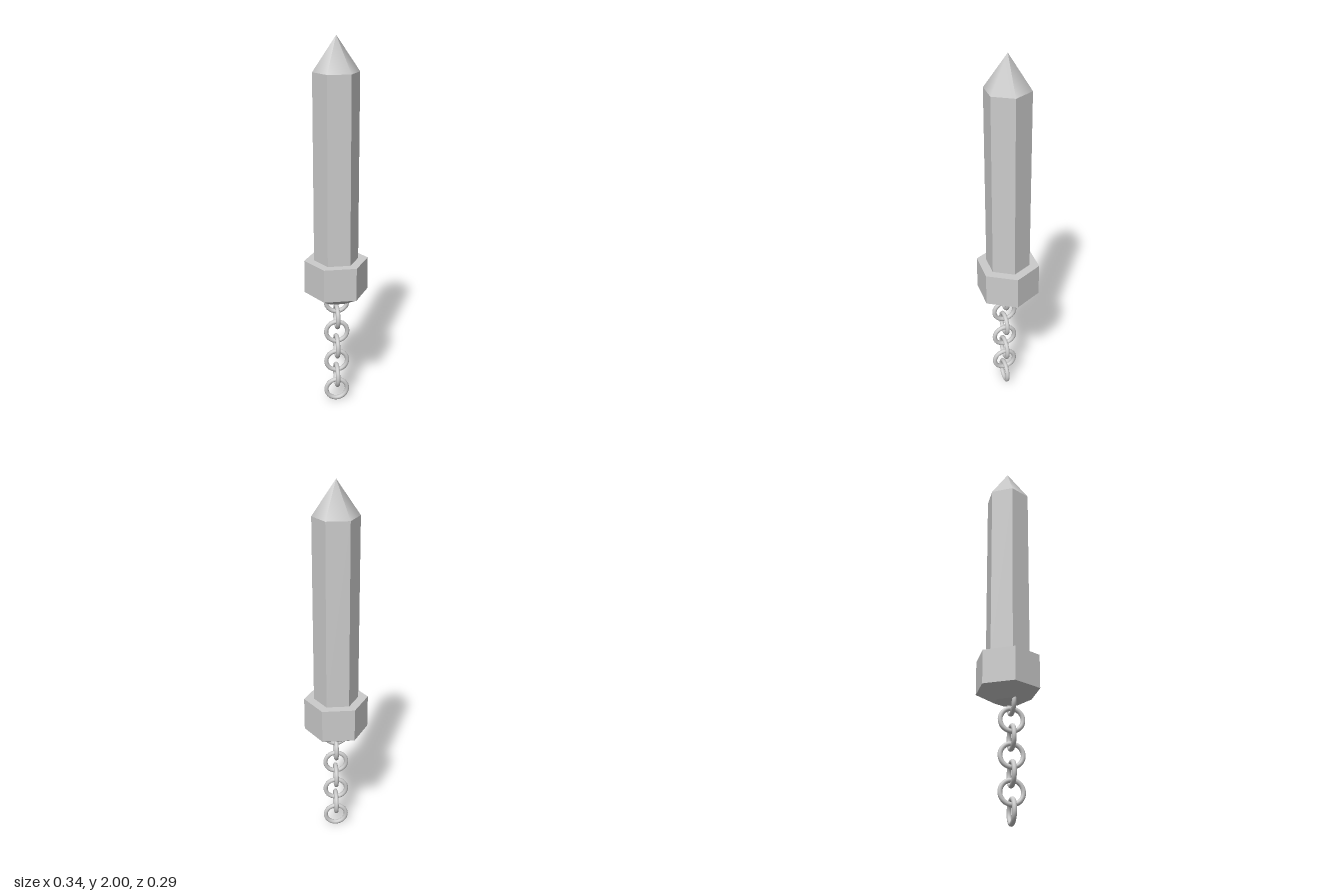
import * as THREE from 'three';

export function createModel() {
  const model = new THREE.Group();
  const smooth = new THREE.MeshStandardMaterial({ color: 0xcccccc });
  const faceted = new THREE.MeshStandardMaterial({ color: 0xcccccc, flatShading: true });

  // Six-sided section with corners on the x axis, between two heights
  function hexPart(name, bottomRadius, topRadius, y0, y1, material) {
    const geometry = new THREE.CylinderGeometry(topRadius, bottomRadius, y1 - y0, 6, 1, false, Math.PI / 6);
    const mesh = new THREE.Mesh(geometry, material);
    mesh.name = name;
    mesh.position.y = (y0 + y1) / 2;
    model.add(mesh);
  }

  hexPart('tip', 0.118, 0, 1.826, 2, smooth);
  hexPart('shaft', 0.118, 0.118, 0.847, 1.826, faceted);
  hexPart('collar', 0.17, 0.17, 0.667, 0.847, faceted);
  hexPart('collarTaper', 0.07, 0.17, 0.611, 0.667, smooth);

  // Hanging chain: round links, each turned a quarter from the last
  const chain = new THREE.Group();
  chain.name = 'chain';
  chain.position.z = 0.02;
  const linkGeometry = new THREE.TorusGeometry(0.058, 0.012, 12, 36);
  for (let i = 0; i < 7; i++) {
    const link = new THREE.Mesh(linkGeometry, smooth);
    link.name = 'chainLink' + (i + 1);
    link.position.y = 0.07 + 0.09 * i;
    link.rotation.y = i % 2 ? Math.PI / 2 : 0;
    chain.add(link);
  }
  model.add(chain);

  return model;
}
